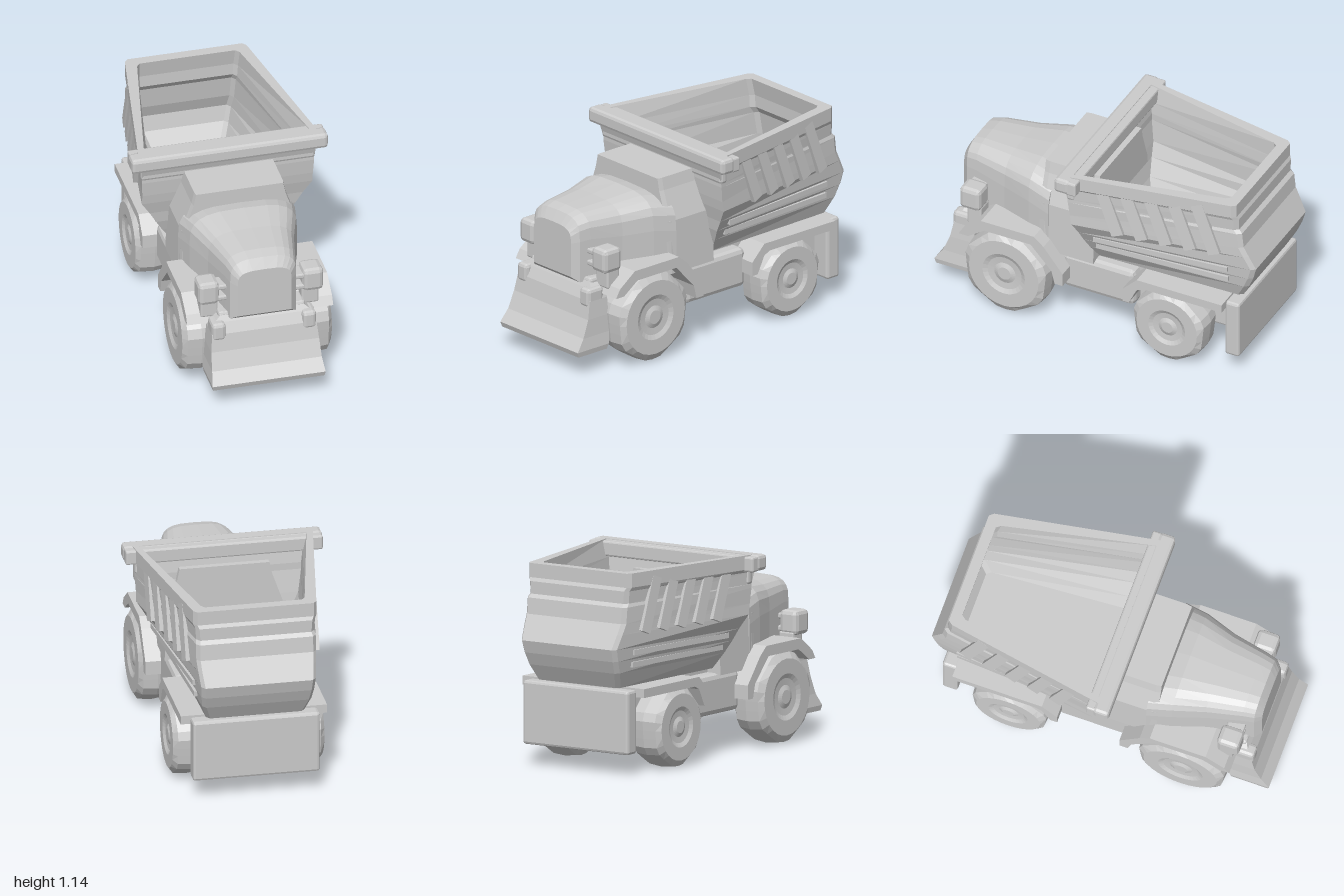
import * as THREE from 'three';
import { RoundedBoxGeometry } from 'three/addons/geometries/RoundedBoxGeometry.js';

const material = new THREE.MeshStandardMaterial({ color: 0xcccccc, flatShading: true });

// Skins a list of equal-length rings (counter-clockwise about the direction of travel), with end caps.
function loft(rings) {
  const n = rings[0].length, pos = [];
  const tri = (...pts) => pts.forEach(p => pos.push(...p));
  for (let r = 0; r < rings.length - 1; r++) {
    for (let i = 0; i < n; i++) {
      const j = (i + 1) % n, a = rings[r], b = rings[r + 1];
      tri(a[i], a[j], b[j]);
      tri(a[i], b[j], b[i]);
    }
  }
  const cap = (ring, flip) => {
    const c = [0, 1, 2].map(k => ring.reduce((s, p) => s + p[k], 0) / n);
    for (let i = 0; i < n; i++) {
      const p = ring[i], q = ring[(i + 1) % n];
      if (flip) tri(c, q, p); else tri(c, p, q);
    }
  };
  cap(rings[0], true);
  cap(rings[rings.length - 1], false);
  const g = new THREE.BufferGeometry();
  g.setAttribute('position', new THREE.Float32BufferAttribute(pos, 3));
  g.computeVertexNormals();
  return g;
}

// Extrudes a side profile of [z, y] points between x0 and x1.
function sideExtrude(points, x0, x1) {
  const shape = new THREE.Shape(points.map(p => new THREE.Vector2(...p)));
  const g = new THREE.ExtrudeGeometry(shape, { depth: x1 - x0, bevelEnabled: false });
  return g.rotateY(-Math.PI / 2).translate(x1, 0, 0);
}

// Box given by its extents.
function box(x0, x1, y0, y1, z0, z1, radius = 0.015) {
  const g = new RoundedBoxGeometry(x1 - x0, y1 - y0, z1 - z0, 1, radius);
  return g.translate((x0 + x1) / 2, (y0 + y1) / 2, (z0 + z1) / 2);
}

// Chunky tyre with alternating lugs, a slightly dished side and a hub; axis along x, outside towards +x.
function wheelGeometry(r, w) {
  const h = w / 2;
  const profile = [[0, -h], [r * 0.8, -h], [r * 0.96, -h + 0.03], [r, 0], [r * 0.97, h - 0.025],
    [r * 0.82, h], [r * 0.5, h], [r * 0.4, h - 0.012], [r * 0.25, h - 0.015], [r * 0.15, h - 0.005], [0, h - 0.005]];
  const g = new THREE.LatheGeometry(profile.map(p => new THREE.Vector2(...p)), 28);
  const p = g.attributes.position;
  for (let i = 0; i < p.count; i++) {
    const x = p.getX(i), z = p.getZ(i);
    if (Math.hypot(x, z) < r * 0.9) continue;
    const step = Math.round(Math.atan2(z, x) / (Math.PI / 14));
    const k = Math.abs(step) % 4 < 2 ? 1 : 0.955;
    p.setX(i, x * k);
    p.setZ(i, z * k);
  }
  return g.rotateZ(-Math.PI / 2);
}

export function createModel() {
  const model = new THREE.Group();
  const add = (name, geometry) => {
    const mesh = new THREE.Mesh(geometry, material);
    mesh.name = name;
    model.add(mesh);
    return mesh;
  };

  // Chassis, side tanks and rear board
  add('chassis', box(-0.25, 0.25, 0.22, 0.53, -0.86, 0.84));
  add('sideTanks', box(-0.33, 0.33, 0.23, 0.46, -0.25, 0.2, 0.03));
  add('rearBoard', box(-0.36, 0.36, 0.12, 0.48, -0.92, -0.83));

  // Wheels
  for (const [name, z, r] of [['frontWheel', 0.513, 0.265], ['rearWheel', -0.505, 0.23]]) {
    for (const s of [1, -1]) {
      const wheel = add(name, wheelGeometry(r, 0.21));
      wheel.position.set(s * 0.325, r + 0.004, z);
      if (s < 0) wheel.rotation.y = Math.PI;
    }
  }

  // Fenders, lamps and small brackets on both sides
  const frontFender = [[0.8, 0.45], [0.77, 0.5], [0.66, 0.58], [0.33, 0.58], [0.27, 0.53], [0.15, 0.38],
    [0.15, 0.3], [0.2, 0.3], [0.22, 0.38], [0.35, 0.52], [0.64, 0.52], [0.74, 0.45]];
  const rearFender = [[-0.22, 0.4], [-0.31, 0.49], [-0.84, 0.49], [-0.84, 0.44],
    [-0.35, 0.44], [-0.31, 0.42], [-0.26, 0.32], [-0.22, 0.32]];
  for (const s of [1, -1]) {
    const span = (a, b) => s > 0 ? [a, b] : [-b, -a];
    add('frontFender', sideExtrude(frontFender, ...span(0.22, 0.42)));
    add('rearFender', sideExtrude(rearFender, ...span(0.22, 0.415)));
    add('headlamp', box(...span(0.24, 0.36), 0.58, 0.72, 0.7, 0.83, 0.025));
    for (const y of [0.61, 0.68]) add('lampBracket', box(...span(0.17, 0.26), y - 0.015, y + 0.015, 0.72, 0.82, 0.008));
    add('lampStem', box(...span(0.24, 0.34), 0.48, 0.6, 0.7, 0.79, 0.01));
    add('bladeArm', box(...span(0.22, 0.3), 0.38, 0.49, 0.78, 0.9, 0.02));
  }

  // Plough blade: curved in section, narrowing at the very top
  const blade = [
    [0.12, 0.32, 0.78, 0.99], [0.15, 0.325, 0.77, 1.0], [0.22, 0.315, 0.76, 0.95],
    [0.32, 0.31, 0.76, 0.91], [0.42, 0.3, 0.76, 0.89], [0.48, 0.28, 0.74, 0.86], [0.53, 0.22, 0.72, 0.83],
  ].map(([y, x, back, front]) => [[x, y, front], [x, y, back], [-x, y, back], [-x, y, front]]);
  add('blade', loft(blade));

  // Hood: arched sections from the cab to the radiator
  const hood = [
    [0.28, 0.34, 0.45, 0.9, 0.2], [0.42, 0.31, 0.5, 0.925, 0.2], [0.6, 0.25, 0.5, 0.905, 0.18],
    [0.8, 0.205, 0.5, 0.895, 0.15], [0.865, 0.19, 0.5, 0.88, 0.14], [0.9, 0.155, 0.53, 0.82, 0.09],
  ].map(([z, w, y0, y1, arch]) => {
    const ring = [[w, y0, z]], steps = 12;
    for (let i = 0; i <= steps; i++) {
      const a = Math.PI * i / steps, c = Math.cos(a), s = Math.sin(a);
      ring.push([w * Math.sign(c) * Math.abs(c) ** 0.6, y1 - arch + arch * Math.max(s, 0) ** 0.6, z]);
    }
    ring.push([-w, y0, z]);
    return ring;
  });
  add('hood', loft(hood));

  // Cab: upright block with sloping shoulders
  const half = [[0.34, 0.45], [0.33, 0.76], [0.27, 0.93], [0.255, 1.0]];
  const outline = [...half, ...half.map(([x, y]) => [-x, y]).reverse()];
  add('cab', loft([0.0, 0.31, 0.34].map((z, i) =>
    outline.map(([x, y]) => [i === 2 ? x * 0.98 : x, y, z]))));

  // Dump bed: outer skin up to the rim, then a thin-walled inside down to a deep floor
  const bedRings = [
    [0.49, -0.02, 0.3, -0.9, 0.28], [0.58, 0.01, 0.36, -0.95, 0.31],
    [0.65, 0.03, 0.4, -0.98, 0.32], [0.72, 0.04, 0.44, -1.0, 0.325],
    [0.8, 0.06, 0.49, -0.96, 0.335], [0.86, 0.07, 0.49, -0.93, 0.34],
    [0.95, 0.08, 0.495, -0.92, 0.34], [0.97, 0.08, 0.495, -0.9, 0.335],
    [1.04, 0.1, 0.5, -0.9, 0.34], [1.06, 0.1, 0.52, -0.89, 0.35],
    [1.14, 0.1, 0.52, -0.89, 0.35], [1.14, 0.05, 0.475, -0.83, 0.295],
    [1.04, 0.04, 0.45, -0.85, 0.29], [0.97, 0.03, 0.44, -0.85, 0.285],
    [0.93, 0.03, 0.44, -0.88, 0.285], [0.8, 0.01, 0.42, -0.9, 0.28],
    [0.72, 0.0, 0.38, -0.93, 0.27], [0.63, -0.02, 0.32, -0.91, 0.25], [0.55, -0.05, 0.27, -0.86, 0.22],
  ].map(([y, zf, xf, zb, xb]) => {
    const right = [[xf, y, zf], [xb, y, zb + 0.025], [xb - 0.02, y, zb]];
    return [...right, ...right.map(([x, , z]) => [-x, y, z]).reverse()];
  });
  add('dumpBed', loft(bedRings));
  add('bedFrontLip', box(-0.565, 0.565, 1.05, 1.14, 0.04, 0.135, 0.02));
  add('bedFrontLipEnds', box(-0.56, 0.56, 1.05, 1.135, 0.0, 0.06, 0.01)).scale.set(1, 0.999, 1);
  add('bedFrontLipUnderside', box(-0.5, 0.5, 0.97, 1.07, 0.04, 0.09, 0.015));

  // Slanted ribs and lower rails on the flanks of the bed
  for (const s of [1, -1]) {
    for (let i = 0; i < 5; i++) {
      const z = -0.16 - i * 0.14;
      const rib = add('bedRib', new THREE.BoxGeometry(0.03, 0.32, 0.07));
      rib.position.set(s * (0.482 + 0.155 * z), 0.95, z);
      rib.rotation.set(0.35, s * 0.155, 0);
    }
    for (const [y, x, slope] of [[0.62, 0.348, 0.06], [0.69, 0.373, 0.1]]) {
      const rail = add('bedRail', new THREE.BoxGeometry(0.03, 0.03, 0.8));
      rail.position.set(s * x, y, -0.44);
      rail.rotation.y = s * slope;
    }
  }
  return model;
}
